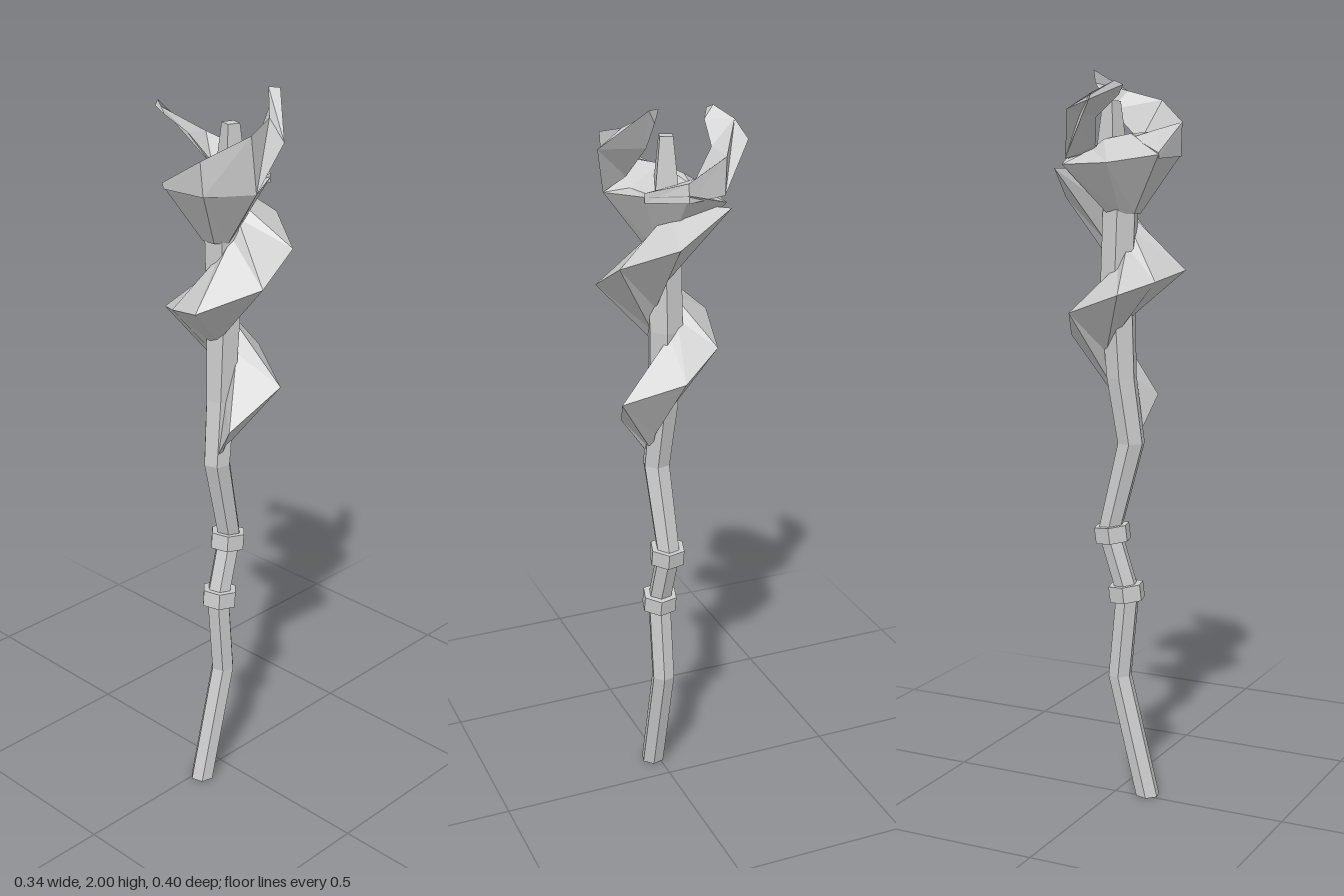
import * as THREE from 'three';

const material = new THREE.MeshStandardMaterial({ color: 0xcccccc, flatShading: true });

// Closed faceted solid through rings of [x, y, z] points, turned outward by its signed volume
function loft(rings) {
  const tris = [];
  const n = rings[0].length;
  for (let i = 0; i < rings.length - 1; i++) {
    for (let j = 0; j < n; j++) {
      const k = (j + 1) % n;
      const [a, b, c, d] = [rings[i][j], rings[i][k], rings[i + 1][k], rings[i + 1][j]];
      tris.push([a, b, c], [a, c, d]);
    }
  }
  const first = rings[0], last = rings[rings.length - 1];
  for (let j = 1; j < n - 1; j++) {
    tris.push([first[0], first[j + 1], first[j]], [last[0], last[j], last[j + 1]]);
  }
  let volume = 0;
  const [u, v, w] = [new THREE.Vector3(), new THREE.Vector3(), new THREE.Vector3()];
  for (const [a, b, c] of tris) {
    volume += u.fromArray(a).dot(v.fromArray(b).cross(w.fromArray(c)));
  }
  if (volume < 0) tris.forEach((t) => t.reverse());
  const geometry = new THREE.BufferGeometry();
  geometry.setAttribute('position', new THREE.Float32BufferAttribute(tris.flat(2), 3));
  geometry.computeVertexNormals();
  return geometry;
}

// Level hexagon
function ring(x, y, z, r) {
  return Array.from({ length: 6 }, (_, i) => {
    const a = ((i + 0.25) / 6) * Math.PI * 2;
    return [x + r * Math.cos(a), y, z + r * Math.sin(a)];
  });
}

export function createModel() {
  const model = new THREE.Group();
  const add = (name, geometry) => {
    const mesh = new THREE.Mesh(geometry, material);
    mesh.name = name;
    model.add(mesh);
    return mesh;
  };

  // Crooked shaft
  add('shaft', loft([
    [-0.092, 0, 0.017, 0.034],
    [-0.006, 0.34, 0.017, 0.034],
    [-0.028, 0.58, 0.02, 0.034],
    [0.024, 0.75, 0.013, 0.034],
    [-0.036, 1.0, 0.024, 0.039],
    [-0.012, 1.18, 0.014, 0.043],
    [0.0, 1.4, 0.012, 0.05],
    [-0.01, 1.68, 0.014, 0.05],
  ].map((p) => ring(...p))));

  // Two collars
  for (const [x, y, z] of [[-0.024, 0.58, 0.021], [0.016, 0.745, 0.014]]) {
    const collar = add('collar', new THREE.CylinderGeometry(0.051, 0.051, 0.045, 6));
    collar.position.set(x, y, z);
    collar.rotation.set(0, 0.25, -0.12);
  }

  // Spiral fin: outer edge point, then rise and drop to where it meets the shaft
  const finEdge = [
    [-0.055, 1.03, 0.045, 0.01, 0.02],
    [-0.077, 1.125, 0.11, 0.06, 0.08],
    [0.065, 1.228, 0.16, 0.08, 0.12],
    [0.14, 1.29, 0.01, 0.1, 0.11],
    [0.09, 1.36, -0.1, 0.07, 0.11],
    [-0.07, 1.415, -0.135, 0.07, 0.11],
    [-0.135, 1.445, -0.04, 0.09, 0.11],
    [-0.17, 1.47, 0.08, 0.11, 0.12],
    [-0.04, 1.53, 0.19, 0.1, 0.13],
    [0.09, 1.605, 0.172, 0.07, 0.14],
    [0.17, 1.66, 0.04, 0.06, 0.12],
    [0.12, 1.74, -0.12, 0.0, 0.1],
  ];
  add('spiralFin', loft(finEdge.map(([x, y, z, rise, drop]) => {
    const s = 0.035 / Math.hypot(x, z - 0.015);
    const ix = x * s, iz = 0.015 + (z - 0.015) * s;
    return [[x, y, z], [ix, y + rise, iz], [ix, y - drop, iz]];
  })));

  // Head bowl: neck, uneven rim, and a floor that rises toward one side
  const rim = [
    [-0.15, 1.775, -0.055], [-0.035, 1.755, -0.125], [0.1, 1.75, -0.115], [0.13, 1.785, 0],
    [0.08, 1.78, 0.1], [-0.04, 1.77, 0.165], [-0.15, 1.775, 0.09],
  ];
  const neck = rim.map(([x, , z]) => [x * 0.28 - 0.015, 1.62, z * 0.28 + 0.01]);
  const floor = [
    [-0.04, 1.83, 0.01], [0.02, 1.815, -0.03], [0.05, 1.79, -0.04], [0.07, 1.78, 0],
    [0.05, 1.77, 0.06], [-0.02, 1.78, 0.1], [-0.09, 1.835, 0.06],
  ];
  add('headBowl', loft([neck, rim, floor]));

  // Peg in the bowl
  const peg = add('peg', new THREE.CylinderGeometry(0.024, 0.045, 0.16, 4));
  peg.position.set(0.02, 1.835, 0.018);
  peg.rotation.y = 0.5;

  // Horns curling from the rim: each section is lower outer, upper outer, inner
  add('frontHorn', loft([
    [[-0.15, 1.765, -0.05], [-0.15, 1.78, -0.055], [-0.05, 1.82, 0.0]],
    [[-0.15, 1.77, 0.09], [-0.155, 1.86, 0.085], [-0.09, 1.84, 0.06]],
    [[-0.04, 1.77, 0.165], [-0.06, 1.92, 0.165], [-0.02, 1.81, 0.11]],
    [[0.02, 1.895, 0.2], [0.03, 1.945, 0.14], [0.055, 1.895, 0.085]],
    [[0.112, 2.0, 0.1], [0.1, 2.0, 0.07], [0.1, 1.965, 0.08]],
  ]));
  add('backHorn', loft([
    [[0.08, 1.765, 0.1], [0.08, 1.79, 0.1], [0.04, 1.765, 0.07]],
    [[0.13, 1.765, 0], [0.125, 1.815, 0], [0.045, 1.79, 0.02]],
    [[0.09, 1.765, -0.115], [0.075, 1.86, -0.125], [0.03, 1.8, -0.06]],
    [[0.04, 1.89, -0.2], [-0.025, 1.93, -0.19], [0.0, 1.87, -0.115]],
    [[-0.09, 1.95, -0.14], [-0.07, 1.96, -0.15], [-0.07, 1.925, -0.125]],
  ]));

  return model;
}
